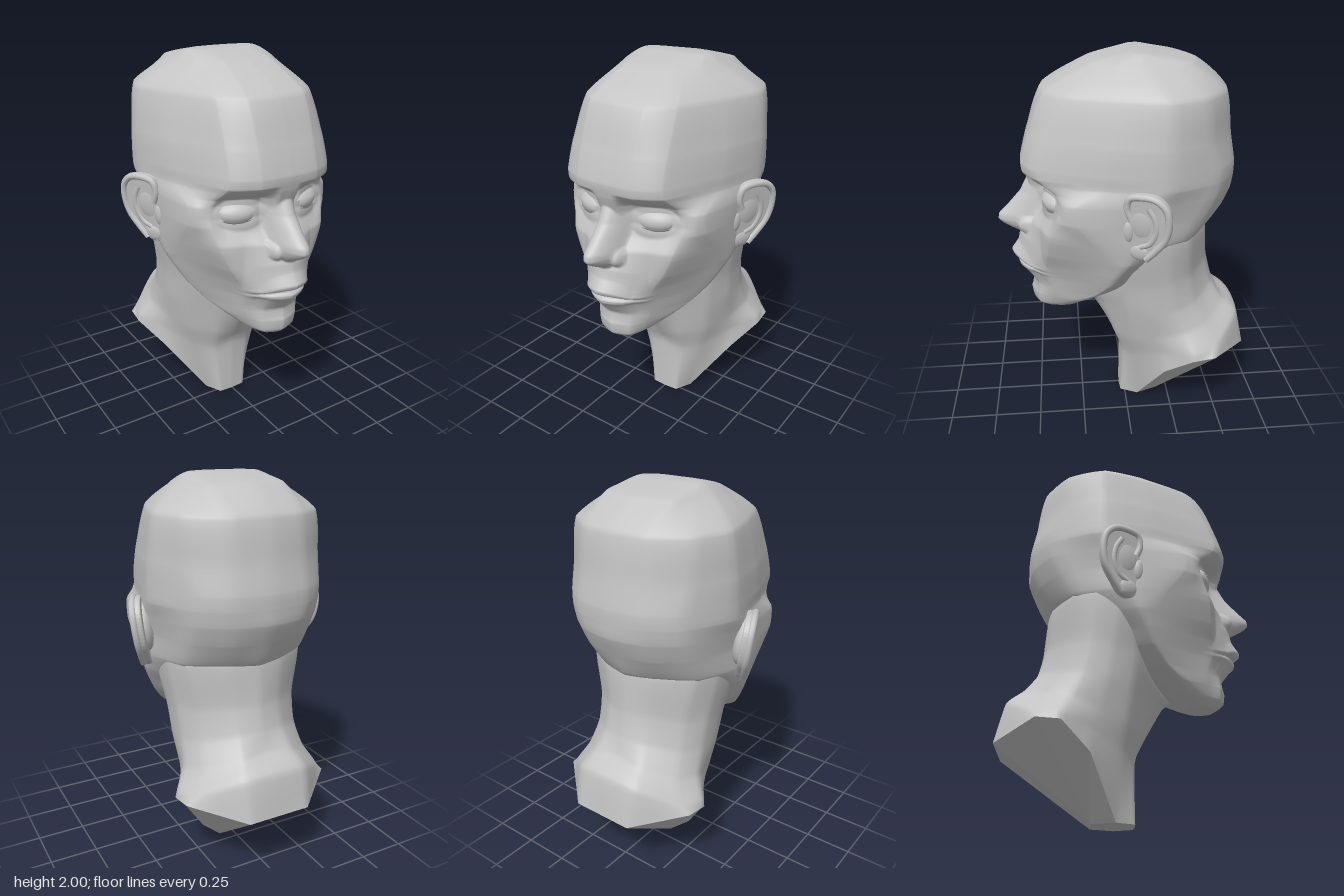
import * as THREE from 'three';

const clay = new THREE.MeshStandardMaterial({ color: 0xc4c4c4, side: THREE.DoubleSide });
clay.name = 'grey clay';

const { clamp, lerp } = THREE.MathUtils;
const ramp = (v, a, b) => clamp((v - a) / (b - a), 0, 1);

// Piecewise linear lookup in [y, value] pairs, sorted downwards
function lookup(pairs, y) {
  if (y >= pairs[0][0]) return pairs[0][1];
  for (let i = 1; i < pairs.length; i++) {
    const [y0, v0] = pairs[i - 1], [y1, v1] = pairs[i];
    if (y >= y1) return v1 + (v0 - v1) * (y - y1) / (y0 - y1);
  }
  return pairs[pairs.length - 1][1];
}

// Halfway between a straight line and a smooth curve: planes with softened edges
function blend(p0, p1, p2, p3, t, soft) {
  return p1.map((b, k) => {
    const a = p0[k], c = p2[k], d = p3[k];
    const line = b + (c - b) * t;
    const curve = b + 0.5 * t * (c - a + t * (2 * a - 5 * b + 4 * c - d + t * (3 * (b - c) + d - a)));
    return line + (curve - line) * soft;
  });
}

// Skin over half contours (front centre, round the +x side, to back centre), mirrored
function loft(rows, stepsU, stepsV, rule) {
  const rings = rows.map((half, r) => {
    const ctrl = [...half, ...half.slice(1, -1).reverse().map(([x, y, z]) => [-x, y, z])];
    const steps = [...stepsU, ...[...stepsU].reverse()];
    const n = ctrl.length, ring = [];
    for (let i = 0; i < n; i++) {
      for (let s = 0; s < steps[i]; s++) {
        ring.push(blend(ctrl[(i + n - 1) % n], ctrl[i], ctrl[(i + 1) % n], ctrl[(i + 2) % n],
          s / steps[i], r ? 0.5 : 0));
      }
    }
    return ring;
  });
  const n = rings[0].length, last = rings.length - 1, pos = [], index = [];
  const total = last * stepsV;
  for (let j = 0; j <= total; j++) {
    const r = Math.min(Math.floor(j / stepsV), last - 1), t = j / stepsV - r;
    for (let i = 0; i < n; i++) {
      const p = blend(rings[Math.max(r - 1, 0)][i], rings[r][i], rings[r + 1][i],
        rings[Math.min(r + 2, last)][i], t, 0.5);
      if (rule) rule(p);
      pos.push(...p);
      if (j < total) {
        const a = j * n + i, b = j * n + (i + 1) % n;
        index.push(a, b, a + n, b, b + n, a + n);
      }
    }
  }
  const g = new THREE.BufferGeometry();
  g.setAttribute('position', new THREE.Float32BufferAttribute(pos, 3));
  g.setIndex(index);
  g.computeVertexNormals();
  return g;
}

// Head sections: y, front z, six x,z pairs, back z
const jawRows = [
  [0.605, 0.46, 0.05, 0.44, 0.07, 0.41, 0.075, 0.38, 0.075, 0.36, 0.05, 0.33, 0.03, 0.32, 0.31],
  [0.64, 0.505, 0.09, 0.47, 0.12, 0.41, 0.135, 0.36, 0.14, 0.31, 0.1, 0.26, 0.05, 0.24, 0.23],
  [0.70, 0.515, 0.10, 0.475, 0.15, 0.40, 0.20, 0.29, 0.21, 0.24, 0.15, 0.15, 0.08, 0.10, 0.08],
  [0.76, 0.495, 0.10, 0.465, 0.17, 0.39, 0.255, 0.21, 0.27, 0.16, 0.20, 0.05, 0.10, 0, -0.05],
  [0.84, 0.50, 0.10, 0.475, 0.18, 0.41, 0.315, 0.15, 0.33, 0.09, 0.25, -0.05, 0.10, -0.10, -0.15],
  [0.92, 0.51, 0.12, 0.475, 0.21, 0.42, 0.355, 0.13, 0.375, 0.05, 0.28, -0.10, 0.10, -0.20, -0.25],
  [1.00, 0.495, 0.14, 0.465, 0.26, 0.41, 0.395, 0.10, 0.41, 0, 0.30, -0.20, 0.12, -0.30, -0.35],
];
const skullRows = [
  [1.10, 0.49, 0.14, 0.465, 0.305, 0.40, 0.41, 0.15, 0.43, -0.05, 0.34, -0.30, 0.15, -0.42, -0.46],
  [1.22, 0.49, 0.14, 0.465, 0.335, 0.385, 0.415, 0.25, 0.44, -0.05, 0.35, -0.36, 0.18, -0.49, -0.52],
  [1.32, 0.50, 0.14, 0.47, 0.325, 0.385, 0.412, 0.26, 0.455, -0.10, 0.35, -0.41, 0.19, -0.53, -0.565],
  [1.40, 0.525, 0.16, 0.515, 0.30, 0.43, 0.415, 0.12, 0.465, -0.17, 0.35, -0.43, 0.20, -0.54, -0.572],
  [1.47, 0.535, 0.16, 0.525, 0.29, 0.445, 0.42, 0.10, 0.465, -0.18, 0.35, -0.43, 0.20, -0.54, -0.572],
  [1.60, 0.50, 0.16, 0.49, 0.285, 0.405, 0.415, 0.08, 0.462, -0.18, 0.365, -0.39, 0.20, -0.515, -0.55],
  [1.82, 0.42, 0.16, 0.40, 0.27, 0.30, 0.375, 0.04, 0.43, -0.18, 0.36, -0.36, 0.19, -0.485, -0.515],
  [1.95, 0.19, 0.13, 0.17, 0.18, 0.115, 0.23, 0.04, 0.26, -0.08, 0.24, -0.20, 0.20, -0.31, -0.365],
  [1.995, 0, 0.10, 0, 0.15, -0.02, 0.18, -0.04, 0.188, -0.07, 0.18, -0.10, 0.12, -0.13, -0.14],
];
function headContour([y, front, ...rest]) {
  const half = [[0, y, front]];
  for (let i = 0; i < 12; i += 2) half.push([rest[i], y, rest[i + 1]]);
  half.push([0, y, rest[12]]);
  return half;
}
const pole = (y, z) => Array.from({ length: 8 }, () => [0, y, z]);

// Profiles down the middle of the face
const muzzle = [[1.20, 0], [1.04, 0.07], [0.99, 0.078], [0.935, 0.105], [0.912, 0.095], [0.888, 0.05],
  [0.87, 0.075], [0.85, 0.073], [0.825, 0.05], [0.77, 0.01], [0.72, 0]];
const noseRidge = [[1.40, 0.52], [1.35, 0.508], [1.27, 0.55], [1.19, 0.622], [1.145, 0.668],
  [1.115, 0.672], [1.09, 0.645], [1.065, 0.60], [1.045, 0.56], [1.04, 0.4]];
const noseWidth = [[1.38, 0.07], [1.27, 0.085], [1.13, 0.10], [1.04, 0.09]];

// Presses in the eye sockets and raises the eyes, lips and nose
function shapeFace(p) {
  const x = Math.abs(p[0]), y = p[1];
  if (p[2] < 0.25) return;
  p[2] -= 0.065 * ramp(y, 1.425, 1.355) * ramp(y, 1.13, 1.26) * ramp(x, 0.05, 0.10) * ramp(x, 0.39, 0.27);
  p[2] += 0.03 * Math.max(0, 1 - ((x - 0.195) / 0.13) ** 2 - ((y - 1.275) / 0.08) ** 2);

  // The lips thin out towards the corners of the mouth
  const mouthY = 0.887 - 0.02 * Math.min(1, (x / 0.17) ** 2);
  const thin = Math.max(0.4, 1 - (x / 0.18) ** 2);
  const lipScale = lerp(thin, 1, ramp(Math.abs(y - mouthY), 0.03, 0.13));
  p[2] += lookup(muzzle, 0.887 + (y - mouthY) / lipScale) * Math.max(0, 1 - (x / 0.2) ** 2);

  const wide = lookup(noseWidth, y);
  if (y > 1.04 && y < 1.39 && x < wide) {
    const ridge = lookup(noseRidge, y);
    p[2] = Math.max(p[2], ridge - (ridge - 0.43) * (x / wide) ** 2.1);
  }
  const wing = 1 - ((x - 0.066) / 0.042) ** 2 - ((y - 1.1) / 0.055) ** 2;
  if (wing > 0) p[2] = Math.max(p[2], 0.49 + 0.075 * Math.sqrt(wing));
}

// Neck and shoulder sections, following the slope of the shoulders
const shoulderRows = [
  [[0, 0, 0.03], [0.08, 0, 0.025], [0.125, 0, -0.07], [0.32, 0.285, -0.2],
    [0.42, 0.41, -0.34], [0.41, 0.42, -0.46], [0.17, 0.36, -0.67], [0, 0.36, -0.67]],
  [[0, 0.32, 0.03], [0.11, 0.30, 0.015], [0.2, 0.32, -0.05], [0.315, 0.40, -0.2],
    [0.41, 0.45, -0.34], [0.36, 0.47, -0.47], [0.18, 0.56, -0.62], [0, 0.575, -0.635]],
  [[0, 0.42, 0.07], [0.12, 0.44, 0.06], [0.24, 0.46, -0.03], [0.31, 0.5, -0.16],
    [0.35, 0.55, -0.30], [0.3, 0.58, -0.42], [0.15, 0.64, -0.54], [0, 0.655, -0.535]],
];
const neckRows = [
  [[0, 0.6, 0.17], [0.13, 0.62, 0.10], [0.27, 0.65, 0], [0.33, 0.66, -0.12],
    [0.335, 0.68, -0.25], [0.28, 0.70, -0.36], [0.13, 0.74, -0.47], [0, 0.75, -0.495]],
  [[0, 0.66, 0.22], [0.13, 0.72, 0.13], [0.29, 0.8, 0.02], [0.345, 0.82, -0.1],
    [0.345, 0.85, -0.22], [0.28, 0.86, -0.33], [0.13, 0.88, -0.43], [0, 0.88, -0.465]],
  [[0, 0.9, 0.15], [0.15, 0.95, 0.1], [0.33, 1.0, 0.02], [0.385, 1.08, -0.06],
    [0.383, 1.11, -0.19], [0.325, 1.11, -0.31], [0.15, 1.09, -0.42], [0, 1.08, -0.45]],
  [[0, 1.25, 0.05], [0.1, 1.25, 0.03], [0.25, 1.25, -0.03], [0.3, 1.25, -0.1],
    [0.3, 1.25, -0.2], [0.22, 1.25, -0.3], [0.1, 1.25, -0.4], [0, 1.25, -0.42]],
];

// Flat cuts closing the underside: small foot, sloping back, and one cut per shoulder
function cutGeometry(r) {
  const mirror = ([x, y, z]) => [-x, y, z];
  const m = r.map(mirror), heel = [0.08, 0, -0.19], heelM = mirror(heel);
  const tris = [[r[1], r[0], m[1]], [r[1], m[1], m[2]], [r[1], m[2], r[2]],
    [r[2], m[2], heelM], [r[2], heelM, heel], [heel, heelM, m[6]], [heel, m[6], r[6]]];
  for (let i = 2; i < 6; i++) tris.push([heel, r[i + 1], r[i]], [heelM, m[i], m[i + 1]]);
  const g = new THREE.BufferGeometry();
  g.setAttribute('position', new THREE.Float32BufferAttribute(tris.flat(2), 3));
  g.computeVertexNormals();
  return g;
}

function add(parent, name, geometry, position = [0, 0, 0], scale = [1, 1, 1]) {
  const mesh = new THREE.Mesh(geometry, clay);
  mesh.name = name;
  mesh.position.set(...position);
  mesh.scale.set(...scale);
  parent.add(mesh);
}

// Ear lying in a plane that flares backwards and leans out at the top
function makeEar() {
  const ear = new THREE.Group();
  const curve = (pts, z, closed) =>
    new THREE.CatmullRomCurve3(pts.map(([s, y]) => new THREE.Vector3(s, y, z)), closed);
  const outline = [[0, 1.34], [0.03, 1.385], [0.10, 1.4], [0.165, 1.39], [0.21, 1.345], [0.22, 1.27],
    [0.2, 1.185], [0.15, 1.115], [0.10, 1.06], [0.05, 1.05], [0.015, 1.075], [0, 1.2]];
  const shape = new THREE.Shape(curve(outline, 0, true).getPoints(48).map(p => new THREE.Vector2(p.x, p.y)));
  add(ear, 'earPlate', new THREE.ExtrudeGeometry(shape, {
    depth: 0.02, bevelThickness: 0.012, bevelSize: 0.008, bevelSegments: 4 }), [0, 0, -0.025]);
  const rim = [[0.035, 1.27], [0.015, 1.33], ...outline.slice(1, 9)];
  add(ear, 'earRim', new THREE.TubeGeometry(curve(rim, 0.004), 48, 0.018, 10));
  const fold = [[0.12, 1.345], [0.15, 1.29], [0.155, 1.22], [0.12, 1.15], [0.07, 1.125]];
  add(ear, 'earFold', new THREE.TubeGeometry(curve(fold, -0.003), 24, 0.018, 10));
  const ball = new THREE.SphereGeometry(1, 20, 14);
  add(ear, 'earLobe', ball, [0.065, 1.09, 0], [0.055, 0.045, 0.017]);
  add(ear, 'earFlap', ball, [0.01, 1.2, 0], [0.03, 0.06, 0.02]);
  add(ear, 'earRoot', ball, [0.08, 1.25, -0.035], [0.1, 0.13, 0.05]);
  ear.rotation.set(0.13, 1.107, 0, 'YXZ');
  ear.position.set(0.285, 0.01, -0.042);
  return ear;
}

export function createModel() {
  const model = new THREE.Group();
  model.name = 'headBust';
  const headRows = [pole(0.6, 0.4), ...[...jawRows, ...skullRows].map(headContour), pole(2, -0.06)];
  add(model, 'head', loft(headRows, [18, 20, 10, 6, 5, 5, 5], 14, shapeFace));
  add(model, 'neck', loft([...shoulderRows, ...neckRows], [6, 6, 6, 6, 6, 6, 6], 8));
  add(model, 'bustCut', cutGeometry(shoulderRows[0]));

  // Eyes and ears on both sides
  for (const side of [1, -1]) {
    const name = side > 0 ? 'left' : 'right';
    const eye = new THREE.Group();
    eye.name = name + 'Eye';
    add(eye, 'eyeball', new THREE.SphereGeometry(1, 28, 18));
    add(eye, 'upperLid', new THREE.SphereGeometry(1.09, 28, 10, 0, Math.PI * 2, 0, 1.3));
    add(eye, 'lowerLid', new THREE.SphereGeometry(1.07, 28, 10, 0, Math.PI * 2, 1.95, Math.PI - 1.95));
    eye.position.set(side * 0.192, 1.275, 0.356);
    eye.rotation.y = side * 0.35;
    eye.scale.set(0.105, 0.06, 0.068);
    model.add(eye);

    const half = new THREE.Group();
    half.name = name + 'Ear';
    half.add(makeEar());
    half.scale.x = side;
    model.add(half);
  }
  return model;
}
